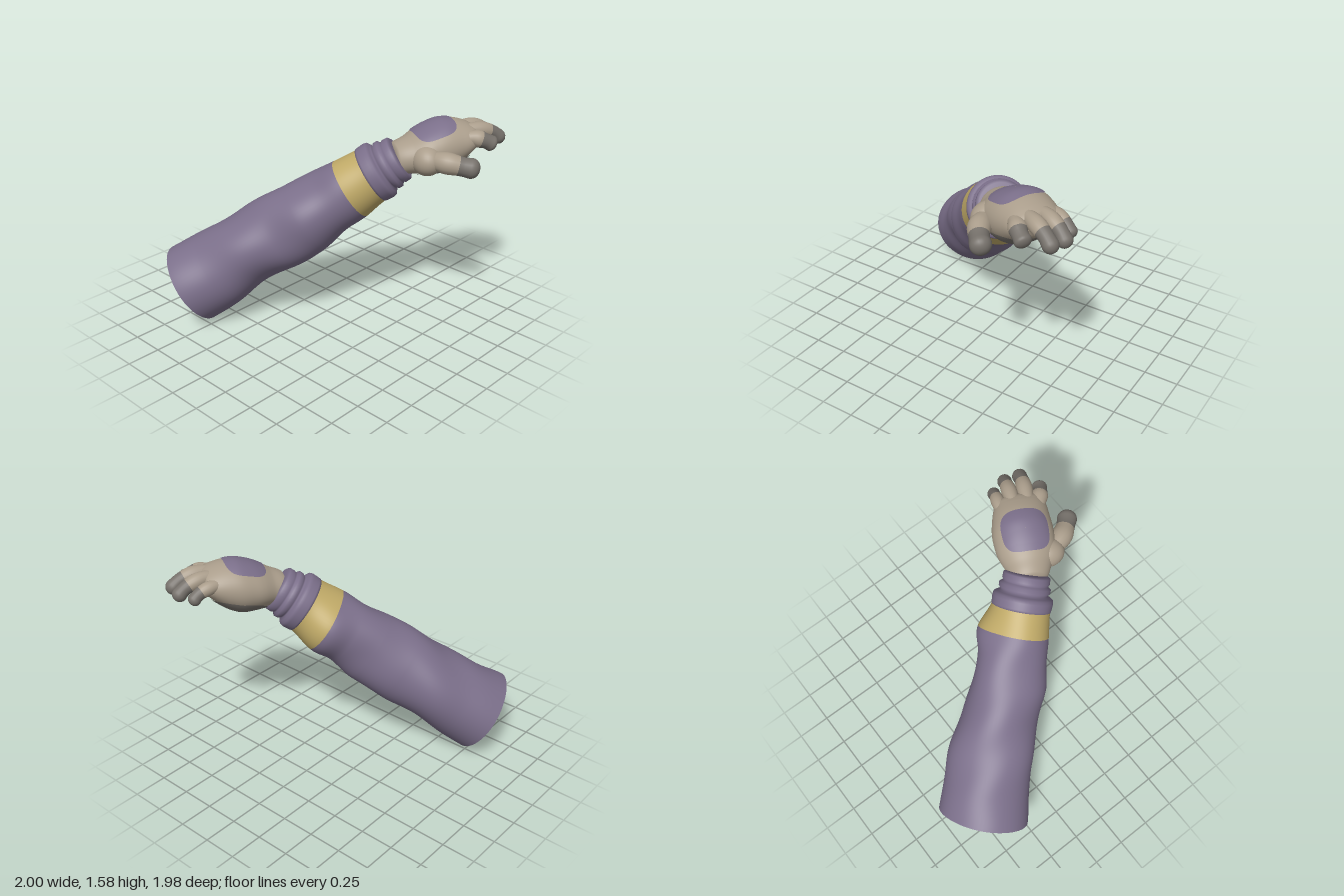
import * as THREE from 'three';
import { ParametricGeometry } from 'three/addons/geometries/ParametricGeometry.js';

const V = (x, y, z) => new THREE.Vector3(x, y, z);
const TAU = Math.PI * 2;

// Catmull-Rom blend of four values
function cubic(a, b, c, d, k) {
  return b + 0.5 * k * (c - a + k * (2 * a - 5 * b + 4 * c - d + k * (3 * (b - c) + d - a)));
}

// Smooth lookup in rows of [position, ...values]
function sampleRows(rows, t, col) {
  const last = rows.length - 1;
  let i = 0;
  while (i < last - 1 && t > rows[i + 1][0]) i++;
  const k = (t - rows[i][0]) / (rows[i + 1][0] - rows[i][0]);
  const at = (j) => rows[Math.min(Math.max(j, 0), last)][col];
  return cubic(at(i - 1), at(i), at(i + 1), at(i + 2), k);
}

// Sleeve: distance along the arm, then radii at six angles around it
const sleeveRows = [
  [0, 0.34, 0.312, 0.305, 0.345, 0.33, 0.325],
  [0.25, 0.3, 0.275, 0.295, 0.345, 0.32, 0.32],
  [0.52, 0.29, 0.265, 0.285, 0.34, 0.3, 0.265],
  [0.8, 0.26, 0.26, 0.278, 0.295, 0.305, 0.305],
  [1.05, 0.29, 0.245, 0.265, 0.25, 0.3, 0.29],
  [1.25, 0.25, 0.225, 0.245, 0.255, 0.255, 0.255],
  [1.42, 0.237, 0.23, 0.228, 0.288, 0.268, 0.24],
  [1.63, 0.21, 0.21, 0.208, 0.214, 0.212, 0.21],
];

function sleeveRadius(a, t) {
  const s = (((a / TAU) % 1) + 1) % 1 * 6;
  const i = Math.floor(s) % 6;
  const r = [5, 6, 7, 8].map((o) => sampleRows(sleeveRows, t, ((i + o) % 6) + 1));
  const fold = 0.007 * Math.sin(3 * a + 11 * t) * Math.sin(Math.PI * Math.min(t / 1.44, 1));
  return cubic(...r, s - Math.floor(s)) + fold;
}

function sleevePart(t0, t1, stacks) {
  return new ParametricGeometry((u, v, p) => {
    const a = -TAU * u, t = t0 + (t1 - t0) * v, r = sleeveRadius(a, t);
    p.set(r * Math.cos(a), t, r * Math.sin(a));
  }, 64, stacks);
}

// Palm: distance forward, centre x, centre y, half width, half height
const palmRows = [
  [-0.36, -0.02, 1.3, 0.01, 0.01],
  [-0.34, -0.02, 1.305, 0.125, 0.105],
  [-0.24, -0.008, 1.325, 0.168, 0.132],
  [-0.15, -0.008, 1.348, 0.207, 0.16],
  [-0.07, -0.01, 1.363, 0.219, 0.18],
  [0.01, -0.012, 1.376, 0.22, 0.189],
  [0.1, -0.01, 1.395, 0.208, 0.166],
  [0.18, -0.005, 1.416, 0.19, 0.126],
  [0.24, -0.005, 1.433, 0.155, 0.08],
  [0.275, -0.005, 1.437, 0.01, 0.01],
];

function palmPoint(a, f, lift, p) {
  const [cx, cy, rx, ry] = [1, 2, 3, 4].map((c) => sampleRows(palmRows, f, c));
  p.set(cx + (rx + lift) * Math.cos(a), cy + (ry + lift) * Math.sin(a), -f);
}

// Thin rounded panel that follows the palm surface
function palmPatch(a0, aSpan, f0, fSpan, power, lift) {
  return new ParametricGeometry((u, v, p) => {
    const c = Math.cos(-TAU * u), s = Math.sin(-TAU * u);
    const r = 0.01 + 0.99 * v;
    const round = (w) => Math.sign(w) * Math.abs(w) ** power * r;
    palmPoint(a0 + aSpan * round(s), f0 + fSpan * round(c), lift, p);
  }, 48, 14);
}

// Rounded finger section between v0 and v1 of a curve
function fingerPart(curve, radius, v0, v1) {
  return new ParametricGeometry((u, v, p) => {
    const w = v0 + (v1 - v0) * v, a = TAU * u;
    const c = curve.getPoint(w), T = curve.getTangent(w);
    const N = V(0, 1, 0).addScaledVector(T, -T.y).normalize();
    const B = V().crossVectors(T, N);
    const tip = Math.max(0, (w - 0.83) / 0.17);
    const r = radius * (1 + 0.07 * Math.cos(w * 13)) * Math.sqrt(Math.max(1 - tip * tip, 1e-5));
    p.copy(c).addScaledVector(N, r * Math.cos(a)).addScaledVector(B, r * Math.sin(a));
  }, 20, 28);
}

export function createModel() {
  const material = (name, color) => {
    const m = new THREE.MeshStandardMaterial({ color });
    m.name = name;
    return m;
  };
  const purple = material('purple cloth', 0x7b6f8a);
  const yellow = material('yellow band', 0xbfa967);
  const tan = material('tan glove', 0xaa9d8b);
  const grey = material('grey grip', 0x76716b);

  const model = new THREE.Group();
  model.name = 'glovedArm';
  const add = (parent, name, geometry, mat) => {
    const mesh = new THREE.Mesh(geometry, mat);
    mesh.name = name;
    parent.add(mesh);
    return mesh;
  };

  // Arm frame: local y runs from the cut end to the wrist
  const arm = new THREE.Group();
  arm.name = 'arm';
  const axis = V(0.633, 0.558, -0.537).normalize();
  const side = V(-axis.z, 0, axis.x).normalize();
  arm.quaternion.setFromRotationMatrix(
    new THREE.Matrix4().makeBasis(side, axis, V().crossVectors(side, axis)));
  arm.position.set(-0.743, 0.258, 0.712);
  model.add(arm);

  add(arm, 'sleeve', sleevePart(0, 1.44, 80), purple);
  add(arm, 'sleeveBand', sleevePart(1.44, 1.63, 12), yellow);
  add(arm, 'sleeveEnd', new ParametricGeometry((u, v, p) => {
    const a = -TAU * u, r = sleeveRadius(a, 0) * (0.002 + 0.998 * v);
    p.set(r * Math.cos(a), 0, r * Math.sin(a));
  }, 64, 2), purple);

  // Stacked wrist rings
  const cuff = [
    [0.19, 1.61], [0.215, 1.626], [0.217, 1.64], [0.22, 1.69], [0.215, 1.712], [0.195, 1.726],
    [0.172, 1.734], [0.174, 1.745], [0.186, 1.758], [0.187, 1.785], [0.166, 1.8],
    [0.164, 1.81], [0.172, 1.822], [0.17, 1.86], [0.15, 1.876], [0.01, 1.878],
  ].map(([r, t]) => new THREE.Vector2(r, t));
  add(arm, 'cuff', new THREE.LatheGeometry(cuff, 48), purple);

  // Hand frame: forward is local -z, thumb is on local +x
  const hand = new THREE.Group();
  hand.name = 'hand';
  hand.position.set(0.6, 0, -0.53);
  hand.rotation.y = -0.5;
  model.add(hand);

  add(hand, 'palm', new ParametricGeometry(
    (u, v, p) => palmPoint(-TAU * u, -0.36 + 0.635 * v, 0, p), 48, 44), tan);
  add(hand, 'backPanel', palmPatch(Math.PI * 0.49, 0.84, -0.055, 0.145, 0.6, 0.005), purple);
  add(hand, 'palmGrip', palmPatch(-Math.PI / 2, 1.2, 0.01, 0.215, 0.7, 0.008), grey);

  // Fleshy base of the thumb
  const thumbBase = add(hand, 'thumbBase', new THREE.SphereGeometry(1, 32, 20), tan);
  thumbBase.scale.set(0.13, 0.11, 0.11);
  thumbBase.position.set(0.135, 1.325, 0.15);

  // Fingers: radius, start of the grey tip, path as [x, y, forward]
  const fingers = {
    indexFinger: [0.058, 0.55, [[0.1, 1.43, 0.1], [0.135, 1.45, 0.2], [0.158, 1.43, 0.28], [0.164, 1.39, 0.36]]],
    middleFinger: [0.055, 0.62, [[0.045, 1.46, 0.1], [0.05, 1.48, 0.24], [0.045, 1.45, 0.38], [0.035, 1.37, 0.485]]],
    ringFinger: [0.053, 0.62, [[-0.04, 1.46, 0.1], [-0.055, 1.48, 0.24], [-0.07, 1.44, 0.37], [-0.077, 1.36, 0.46]]],
    littleFinger: [0.047, 0.62, [[-0.11, 1.43, 0.08], [-0.143, 1.45, 0.19], [-0.16, 1.42, 0.3], [-0.17, 1.355, 0.37]]],
    thumb: [0.073, 0.66, [[0.08, 1.31, -0.14], [0.19, 1.335, -0.11], [0.265, 1.335, -0.045], [0.315, 1.315, 0.055], [0.35, 1.295, 0.158]]],
  };
  for (const [name, [radius, split, path]] of Object.entries(fingers)) {
    const curve = new THREE.CatmullRomCurve3(path.map(([x, y, f]) => V(x, y, -f)));
    add(hand, name, fingerPart(curve, radius, 0, split), tan);
    add(hand, name + 'Tip', fingerPart(curve, radius, split, 1), grey);
  }

  return model;
}
